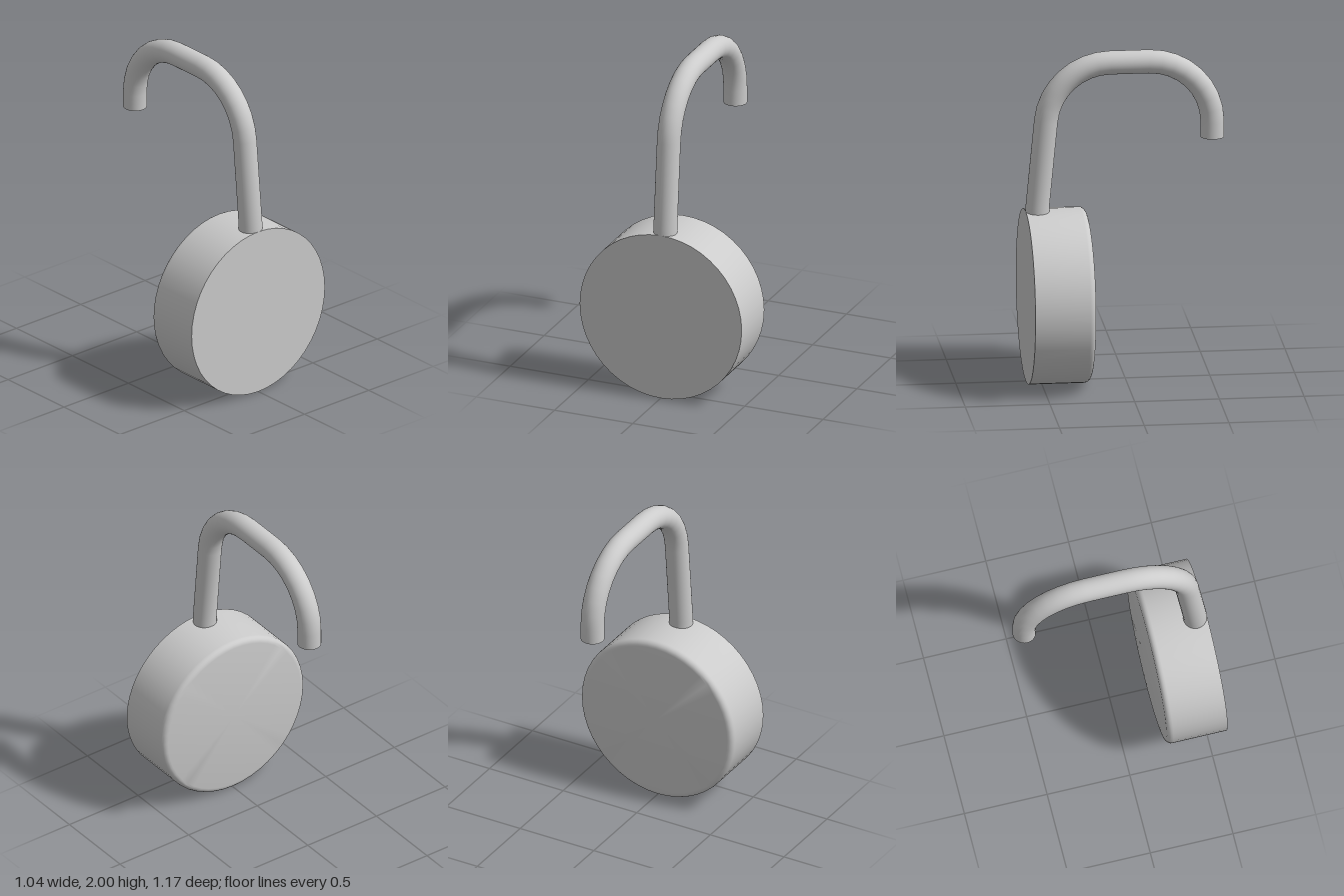
import * as THREE from 'three';
import { toCreasedNormals } from 'three/addons/utils/BufferGeometryUtils.js';

const material = new THREE.MeshStandardMaterial({ color: 0xcccccc });
const TUBE_R = 0.07;

// Path through fixed points, with one tube ring at every point
class PointPath extends THREE.Curve {
  constructor(points) {
    super();
    this.points = points;
  }
  getPointAt(u) {
    return this.points[Math.round(u * (this.points.length - 1))].clone();
  }
  getTangentAt(u) {
    const p = this.points, i = Math.round(u * (p.length - 1));
    const t = new THREE.Vector3();
    if (i > 0) t.add(p[i].clone().sub(p[i - 1]).normalize());
    if (i < p.length - 1) t.add(p[i + 1].clone().sub(p[i]).normalize());
    return t.normalize();
  }
}

// Drum: flat front, rounded back edge
function makeDrum() {
  const R = 0.518, front = 0.587, back = 0.225, r = 0.035;
  const profile = [new THREE.Vector2(0, back)];
  for (let i = 0; i <= 5; i++) {
    const a = (i / 5) * Math.PI / 2;
    profile.push(new THREE.Vector2(R - r + r * Math.sin(a), back + r - r * Math.cos(a)));
  }
  profile.push(new THREE.Vector2(R, front), new THREE.Vector2(0, front));
  const geo = new THREE.LatheGeometry(profile, 48).rotateX(Math.PI / 2);
  const drum = new THREE.Mesh(toCreasedNormals(geo, 0.7), material);
  drum.name = 'drum';
  drum.position.y = R;
  return drum;
}

// Hook: leaning stem, two bends with a straight top, short drop at the tip
function makeHook() {
  const points = [];
  const add = (y, z) => points.push(new THREE.Vector3(0, y, z));
  const bend = (cz, R, from, to) => {
    for (let i = 0; i <= 8; i++) {
      const a = from + (to - from) * i / 8;
      add(1.93 - R + R * Math.sin(a), cz + R * Math.cos(a));
    }
  };
  add(1.0, 0.517);
  add(1.07, 0.517);
  bend(0.09, 0.379, 0.098, Math.PI / 2);
  bend(-0.14, 0.375, Math.PI / 2, Math.PI);
  add(1.46, -0.515);

  const hook = new THREE.Group();
  hook.name = 'hook';
  const geo = new THREE.TubeGeometry(new PointPath(points), points.length - 1, TUBE_R, 32);
  const bar = new THREE.Mesh(geo, material);
  bar.name = 'hookBar';
  const tip = new THREE.Mesh(new THREE.CircleGeometry(TUBE_R, 32).rotateX(Math.PI / 2), material);
  tip.name = 'hookTip';
  tip.position.set(0, 1.46, -0.515);
  hook.add(bar, tip);
  return hook;
}

export function createModel() {
  const model = new THREE.Group();
  model.name = 'hookWithDrum';
  model.add(makeDrum(), makeHook());
  return model;
}
